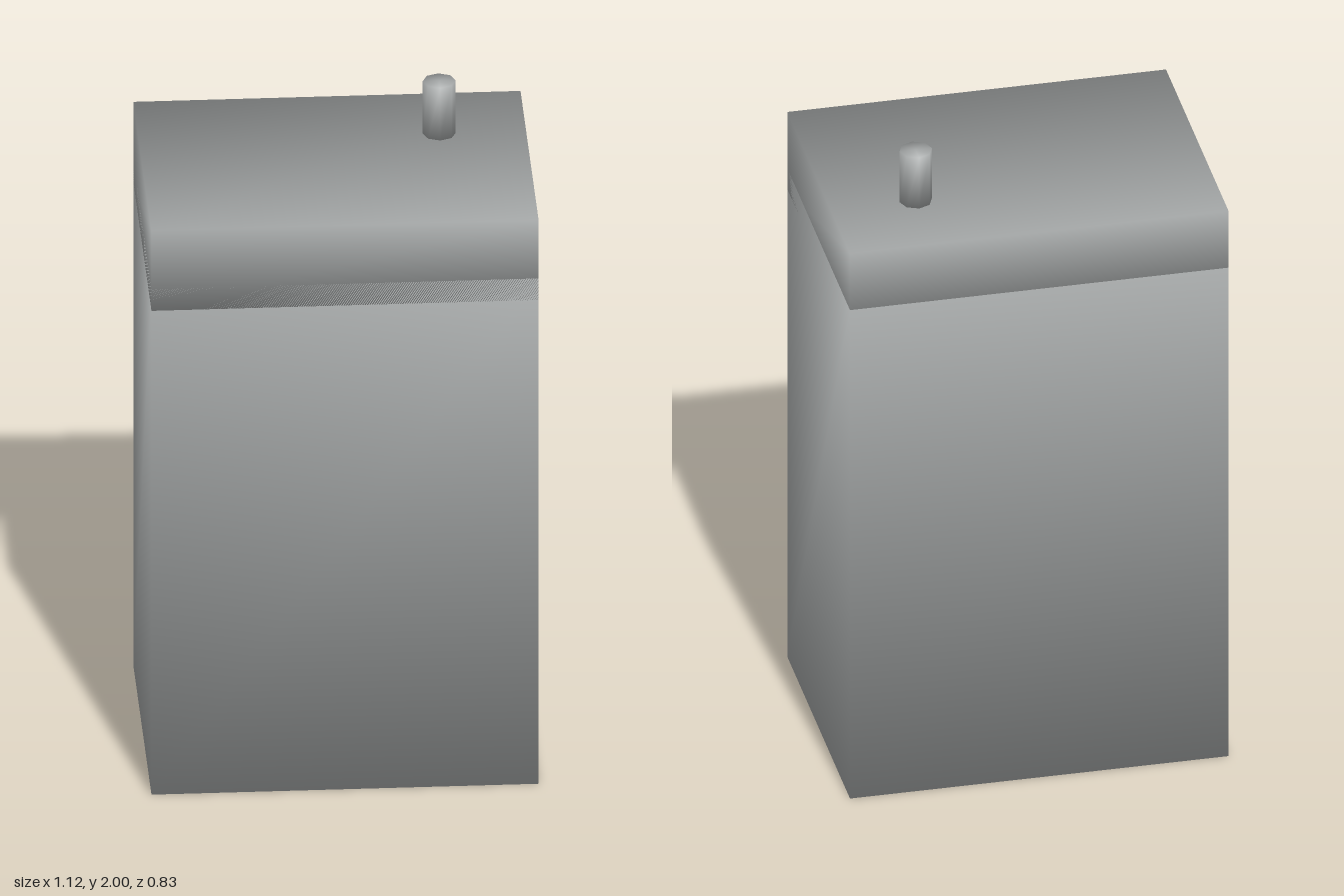
import * as THREE from 'three';

const material = new THREE.MeshStandardMaterial({ color: 0xa6a9a9 });

// Mesh whose normals lean equally to all sides meeting at a corner,
// so the shading runs smoothly across every edge
function part(name, geometry, x, y, z) {
  geometry.computeBoundingBox();
  const half = geometry.boundingBox.max;
  const { position, normal } = geometry.attributes;
  const n = new THREE.Vector3();
  for (let i = 0; i < position.count; i++) {
    n.fromBufferAttribute(position, i).divide(half).normalize();
    normal.setXYZ(i, n.x, n.y, n.z);
  }
  const mesh = new THREE.Mesh(geometry, material);
  mesh.name = name;
  mesh.position.set(x, y, z);
  return mesh;
}

export function createModel() {
  const width = 1.125, depth = 0.835;
  const bodyTop = 1.64, lidBottom = 1.57, lidTop = 1.83, top = 2;
  const group = new THREE.Group();
  group.name = 'box';

  // Tall body
  group.add(part('body', new THREE.BoxGeometry(width, bodyTop, depth), 0, bodyTop / 2, 0));

  // Flush lid, overlapping the top of the body
  const lid = new THREE.BoxGeometry(width, lidTop - lidBottom, depth);
  group.add(part('lid', lid, 0, (lidBottom + lidTop) / 2, 0));

  // Eight-sided peg standing on the lid
  const peg = new THREE.CylinderGeometry(0.048, 0.048, top - lidTop, 8);
  group.add(part('peg', peg, 0.31, (lidTop + top) / 2, -0.16));

  return group;
}
